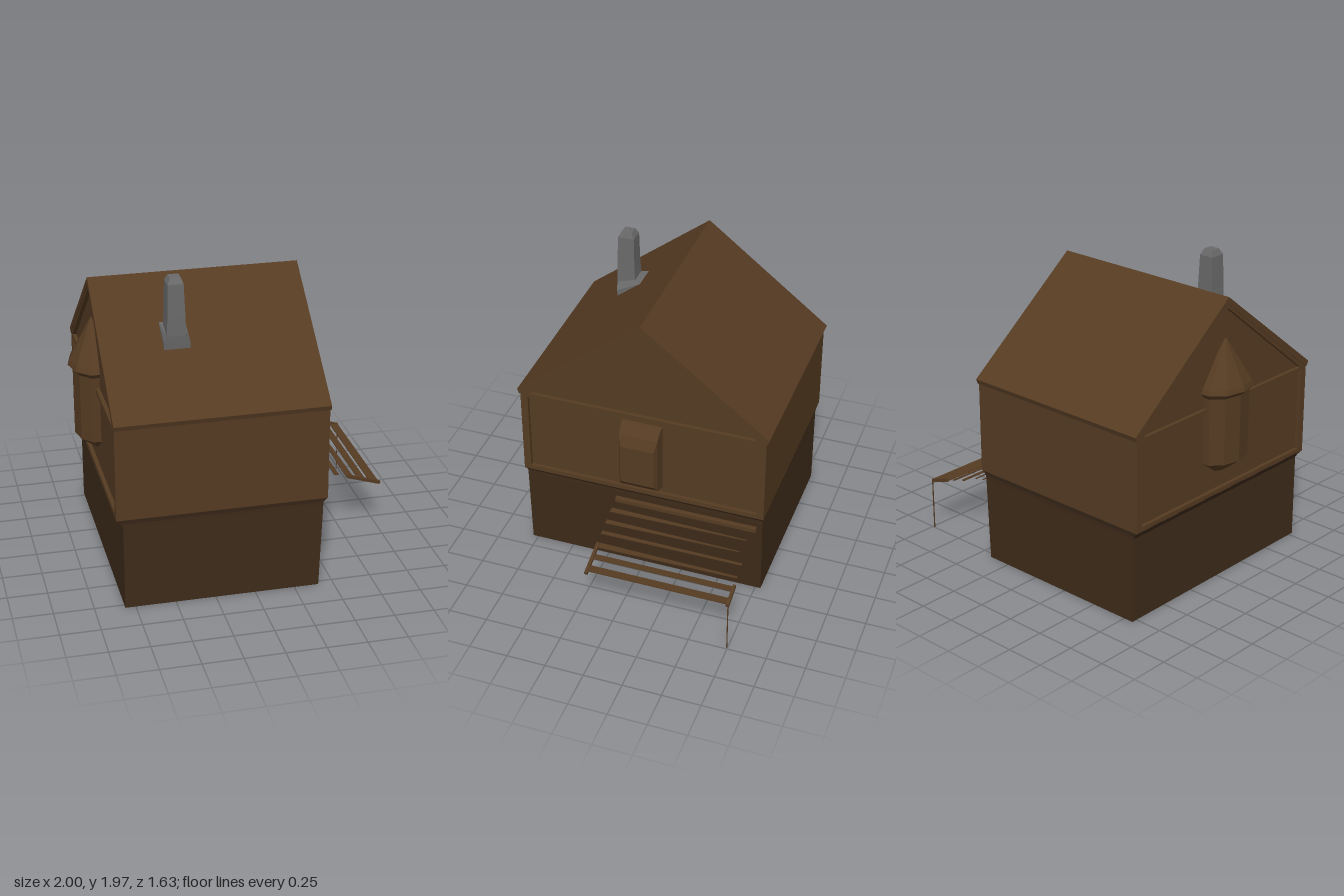
import * as THREE from 'three';

const wood = new THREE.MeshStandardMaterial({ color: 0x553b22, flatShading: true });
const darkWood = new THREE.MeshStandardMaterial({ color: 0x3e2b1a, flatShading: true });
const stone = new THREE.MeshStandardMaterial({ color: 0x6a6a6a, flatShading: true });

// Rings of corners, counter-clockwise seen from the end the loft runs towards
const ringY = (y, x0, x1, z0, z1) => [[x0, y, z1], [x1, y, z1], [x1, y, z0], [x0, y, z0]];
const ringX = (x, y0, y1, h) => [[x, y0, h], [x, y0, -h], [x, y1, -h], [x, y1, h]];
const ringRound = (y, cx, rx, rz, n = 10) => Array.from({ length: n }, (_, i) => {
  const t = (i / n) * Math.PI * 2;
  return [cx + rx * Math.cos(t), y, -rz * Math.sin(t)];
});

// Skin successive rings and cap both ends
function loft(rings) {
  const pos = [];
  const tri = (a, b, c) => pos.push(...a, ...b, ...c);
  const n = rings[0].length;
  for (let i = 0; i < rings.length - 1; i++) {
    for (let j = 0; j < n; j++) {
      const k = (j + 1) % n;
      tri(rings[i][j], rings[i][k], rings[i + 1][k]);
      tri(rings[i][j], rings[i + 1][k], rings[i + 1][j]);
    }
  }
  const first = rings[0], last = rings[rings.length - 1];
  for (let j = 1; j < n - 1; j++) {
    tri(first[0], first[j + 1], first[j]);
    tri(last[0], last[j], last[j + 1]);
  }
  const g = new THREE.BufferGeometry();
  g.setAttribute('position', new THREE.Float32BufferAttribute(pos, 3));
  g.computeVertexNormals();
  return g;
}

// Extrude a (z, y) outline along x
const outline = pts => pts.map(p => new THREE.Vector2(...p));
function alongX(pts, x0, x1, holes = []) {
  const s = new THREE.Shape(outline(pts));
  holes.forEach(h => s.holes.push(new THREE.Path(outline(h))));
  return new THREE.ExtrudeGeometry(s, { depth: x1 - x0, bevelEnabled: false })
    .rotateY(Math.PI / 2).translate(x0, 0, 0);
}

export function createModel() {
  const house = new THREE.Group();
  house.name = 'house';
  const add = (name, geo, mat = wood, parent = house) => {
    const m = new THREE.Mesh(geo, mat);
    m.name = name;
    parent.add(m);
    return m;
  };
  const box = (name, w, h, d, x, y, z, parent) => {
    const m = add(name, new THREE.BoxGeometry(w, h, d), wood, parent);
    m.position.set(x, y, z);
    return m;
  };

  // Ground floor, flaring out under the upper storey
  add('groundFloor', loft([
    ringY(0, -0.815, 0.405, -0.785, 0.785),
    ringY(0.55, -0.815, 0.425, -0.785, 0.785),
    ringY(0.575, -0.83, 0.425, -0.787, 0.787),
    ringY(0.61, -0.86, 0.45, -0.797, 0.797),
  ]), darkWood);

  // Upper storey: slightly recessed end walls inside a full-length timber frame
  const body = [[-0.79, 0.605], [0.79, 0.605], [0.79, 1.2], [0, 1.82], [-0.79, 1.2]];
  add('upperWalls', alongX(body, -0.833, 0.425));
  const frame = [[-0.797, 0.605], [0.797, 0.605], [0.797, 1.215], [0, 1.84], [-0.797, 1.215]];
  add('timberFrame', alongX(frame, -0.858, 0.45, [
    [[-0.75, 0.635], [-0.75, 1.175], [0.75, 1.175], [0.75, 0.635]],
    [[-0.74, 1.2], [0, 1.79], [0.74, 1.2]],
  ]));

  // Gable roof
  add('roof', alongX([
    [0, 1.86], [-0.815, 1.225], [-0.805, 1.195], [-0.79, 1.195],
    [0, 1.815], [0.79, 1.195], [0.805, 1.195], [0.815, 1.225],
  ], -0.862, 0.455));

  // Chimney with a flared foot following the roof slope
  const chimney = new THREE.Group();
  chimney.name = 'chimney';
  house.add(chimney);
  const slope = (ring, dy) => ring.map(([x, y, z]) => [x, y + (0.44 - z) * dy, z]);
  add('chimneyStack', loft([
    slope(ringY(1.48, -0.48, -0.32, 0.28, 0.43), 0.6),
    slope(ringY(1.56, -0.48, -0.32, 0.28, 0.44), 0.5),
    slope(ringY(1.61, -0.463, -0.347, 0.325, 0.445), 0.3),
    ringY(1.72, -0.46, -0.35, 0.33, 0.445),
    ringY(1.93, -0.455, -0.358, 0.335, 0.44),
    ringY(1.968, -0.437, -0.372, 0.355, 0.42),
  ]), stone, chimney);
  add('chimneyRim', new THREE.CylinderGeometry(0.015, 0.02, 0.01, 8), stone, chimney)
    .position.set(-0.405, 1.966, 0.388);

  // Bay window on the left end
  const bay = new THREE.Group();
  bay.name = 'bayWindow';
  house.add(bay);
  add('bayBody', loft([
    ringX(0.42, 0.68, 1.14, 0.135),
    ringX(0.455, 0.68, 1.135, 0.128),
    ringX(0.505, 0.70, 1.08, 0.125),
    ringX(0.535, 0.74, 1.01, 0.11),
  ]), wood, bay);
  for (let i = -2; i <= 2; i++) box('bayBracket', 0.04, 0.03, 0.02, 0.43, 0.67, i * 0.05, bay);

  // Oriel turret with a pointed roof on the right end
  const turret = new THREE.Group();
  turret.name = 'turret';
  house.add(turret);
  add('turretBody', loft([
    ringRound(0.76, -0.84, 0.03, 0.08),
    ringRound(0.84, -0.84, 0.13, 0.19),
    ringRound(1.29, -0.84, 0.13, 0.19),
  ]), wood, turret);
  add('turretRoof', loft([
    ringRound(1.27, -0.84, 0.13, 0.19),
    ringRound(1.30, -0.84, 0.16, 0.215),
    ringRound(1.33, -0.84, 0.15, 0.20),
    ringRound(1.60, -0.845, 0.005, 0.005),
  ]), wood, turret);

  // Slatted lean-to canopy sloping away from the left end
  const canopy = new THREE.Group();
  canopy.name = 'canopy';
  house.add(canopy);
  const fall = 0.31;
  const height = x => 0.515 - (x - 0.43) * fall;
  const slat = (x, wFront, wBack, zBack) => {
    const ring = y => [
      [x - wFront / 2, y, 0.18], [x + wFront / 2, y, 0.18],
      [x + wBack / 2, y, zBack], [x - wBack / 2, y, zBack],
    ];
    add('slat', loft([ring(height(x) - 0.002), ring(height(x) + 0.003)]), wood, canopy);
  };
  slat(0.53, 0.04, 0.006, -0.72);
  slat(0.617, 0.036, 0.006, -0.70);
  slat(0.697, 0.03, 0.018, -0.74);
  slat(0.788, 0.045, 0.015, -0.74);
  slat(0.87, 0.045, 0.045, -0.74);
  slat(0.955, 0.055, 0.055, -0.74);
  [[0.885, 0.23, 0.172], [0.915, 0.15, -0.74]].forEach(([x, w, z]) => {
    box('crossBeam', w, 0.02, 0.02, x, height(x), z, canopy).rotation.z = -Math.atan(fall);
  });

  // Wall plate carrying the canopy, and its outer post
  box('ledger', 0.04, 0.025, 0.93, 0.435, 0.505, -0.285, canopy);
  box('post', 0.005, 0.34, 0.006, 0.988, 0.17, -0.745, canopy);

  return house;
}
